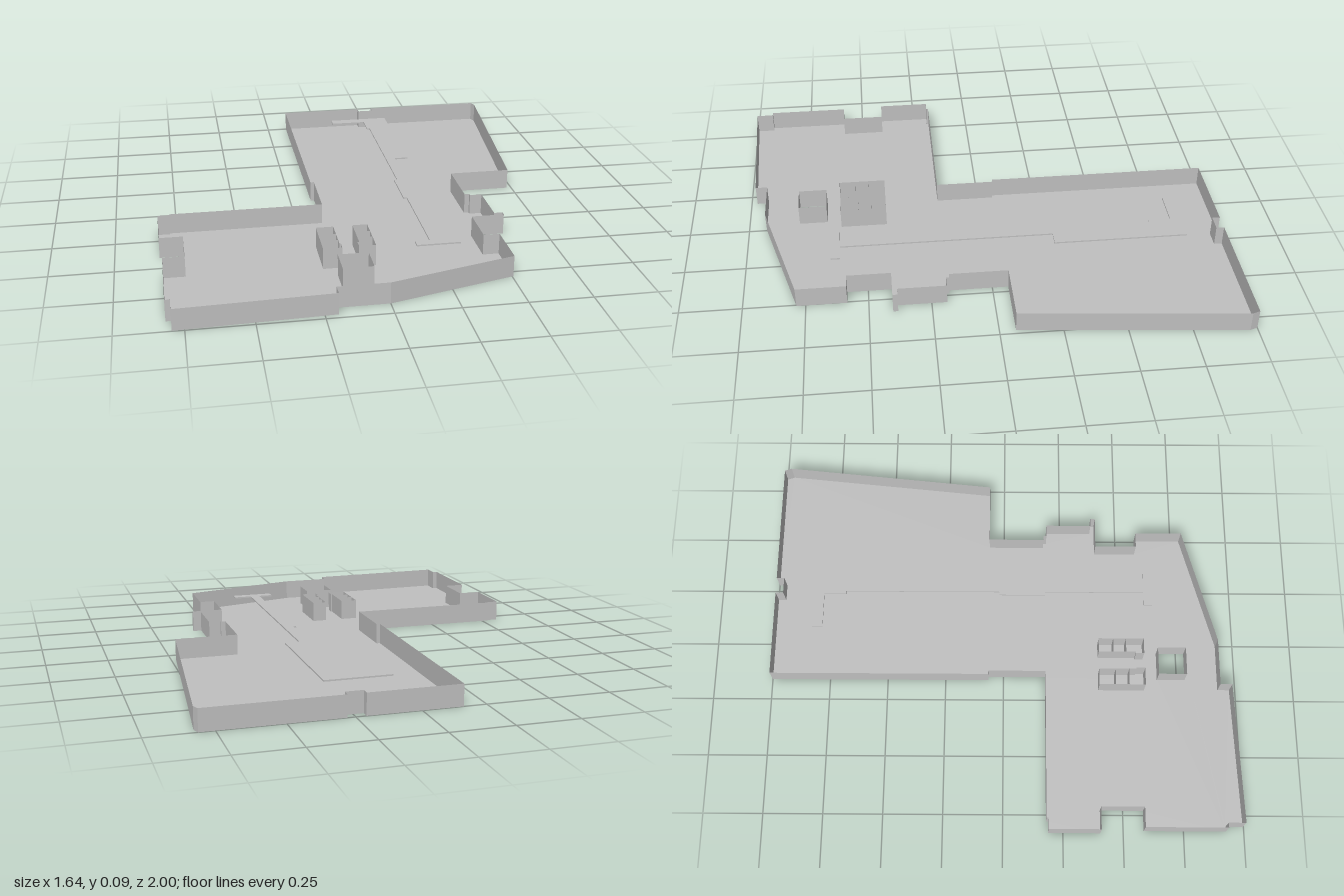
import * as THREE from 'three';

const WALL_H = 0.086;

// Outline points are plan positions [x, z].
const OUTLINE = [
  [-0.16, -1], [0.21, -1], [0.21, -0.967], [0.28, -0.967], [0.28, -1], [0.81, -1], [0.82, -0.97],
  [0.73, -0.065], [0.47, -0.065], [0.47, 0.175], [0.49, 0.175], [0.49, 0.188], [0.54, 0.188],
  [0.54, 0.385], [0.575, 0.385], [0.575, 0.405], [0.44, 0.405], [0.44, 0.585], [0.505, 0.585],
  [0.505, 0.787], [0, 0.925], [-0.2, 0.925], [-0.2, 0.975], [-0.795, 0.997], [-0.795, 0.925],
  [-0.815, 0.925], [-0.815, 0.585], [-0.73, 0.585], [-0.73, 0.405], [-0.825, 0.405],
  [-0.825, 0.188], [-0.778, 0.188], [-0.778, 0.18], [-0.145, 0.18], [-0.145, -0.065], [-0.16, -0.065],
];
const SHAFT = [[-0.155, 0.665], [-0.035, 0.665], [-0.035, 0.785], [-0.155, 0.785]];
const LEFT_ROOMS = [[-0.203, 0.41], [-0.133, 0.41], [-0.133, 0.57], [-0.128, 0.57], [-0.128, 0.607], [-0.203, 0.607]];
const RIGHT_ROOMS = [[-0.055, 0.41], [0.005, 0.41], [0.005, 0.605], [-0.062, 0.605], [-0.062, 0.57], [-0.055, 0.57]];
const STRIP = [
  [0.05, -0.83], [0.318, -0.83], [0.318, -0.275], [0.258, -0.275], [0.258, 0.608], [0.333, 0.608],
  [0.333, 0.645], [0.158, 0.645], [0.158, 0.608], [0.217, 0.608], [0.217, 0.18], [0.203, 0.18],
  [0.203, -0.02], [0.217, -0.02], [0.217, -0.69], [0.205, -0.69], [0.205, -0.785], [0.05, -0.785],
];

const plan = (points) => points.map(([x, z]) => new THREE.Vector2(x, -z));

// Upright sheets following a plan path.
function wallGeometry(points, closed = true) {
  const pos = [];
  const count = closed ? points.length : points.length - 1;
  for (let i = 0; i < count; i++) {
    const [ax, az] = points[i];
    const [bx, bz] = points[(i + 1) % points.length];
    pos.push(ax, 0, az, bx, WALL_H, bz, bx, 0, bz);
    pos.push(ax, 0, az, ax, WALL_H, az, bx, WALL_H, bz);
  }
  const geometry = new THREE.BufferGeometry();
  geometry.setAttribute('position', new THREE.Float32BufferAttribute(pos, 3));
  geometry.computeVertexNormals();
  return geometry;
}

export function createModel() {
  const group = new THREE.Group();
  group.name = 'floorPlan';
  const grey = new THREE.MeshStandardMaterial({ color: 0xc0c0c0, side: THREE.DoubleSide });
  grey.name = 'plain grey';

  const add = (name, geometry) => {
    const mesh = new THREE.Mesh(geometry, grey);
    mesh.name = name;
    group.add(mesh);
  };

  // Floor sheet with the shaft opening
  const floor = new THREE.Shape(plan(OUTLINE));
  floor.holes.push(new THREE.Path(plan(SHAFT)));
  add('floor', new THREE.ShapeGeometry(floor).rotateX(-Math.PI / 2));

  // Outer, shaft and small room walls
  add('outerWalls', wallGeometry(OUTLINE));
  add('shaftWalls', wallGeometry(SHAFT));
  add('leftRoomWalls', wallGeometry(LEFT_ROOMS));
  add('rightRoomWalls', wallGeometry(RIGHT_ROOMS));

  // Partitions between the small rooms
  for (const z of [0.48, 0.538]) add('leftPartition', wallGeometry([[-0.203, z], [-0.133, z]], false));
  for (const z of [0.473, 0.528]) add('rightPartition', wallGeometry([[-0.055, z], [0.005, z]], false));

  // Thin overhead strip level with the wall tops
  const strip = new THREE.ExtrudeGeometry(new THREE.Shape(plan(STRIP)), { depth: 0.006, bevelEnabled: false });
  add('overheadStrip', strip.rotateX(-Math.PI / 2).translate(0, 0.086, 0));

  return group;
}
